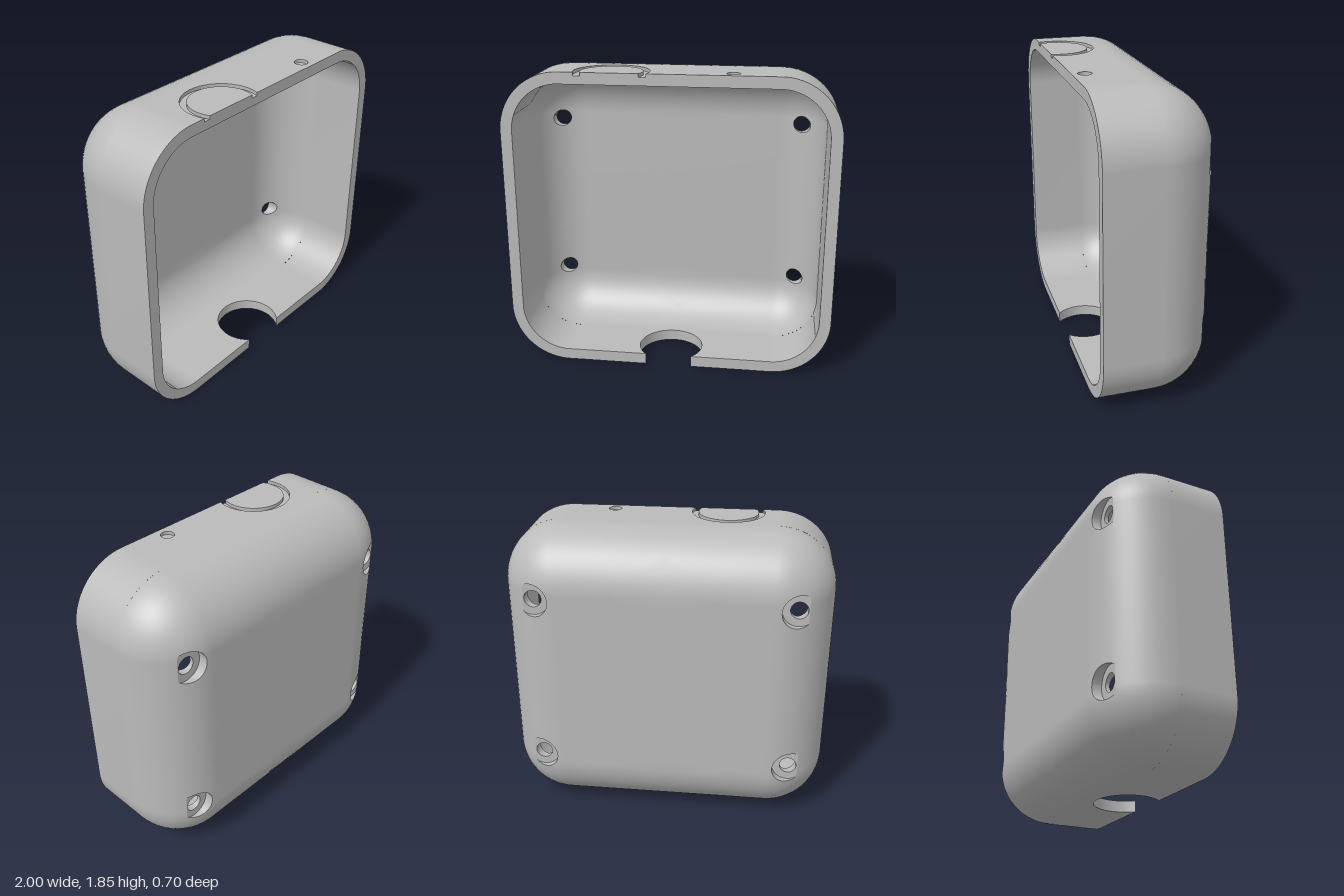
import * as THREE from 'three';
import { toCreasedNormals } from 'three/addons/utils/BufferGeometryUtils.js';

const A = 0.64, B = 0.565;          // half extents of the flat back
const R = 0.36, WALL = 0.07;        // outer edge radius and wall thickness
const RI = R - WALL, Z0 = 0.01, FRONT = 0.35, TOP = B + R;
const HOLE = { x: 0.78, y: 0.525, r: 0.052, bore: 0.1, floor: -0.29 };
const RAYS = 72, ROWS = 18, RINGS = 8;

// Distance outside the flat back rectangle (first quadrant), and the rounded depth there
const rho = (x, y) => Math.hypot(Math.max(0, x - A), Math.max(0, y - B));
const depth = (x, y, r) => Z0 - Math.sqrt(Math.max(0, r * r - rho(x, y) ** 2));

// Farthest point from the hole centre, at angle a, that stays inside a region
function reach(a, max, inside) {
  let lo = 0, hi = max;
  const at = t => [HOLE.x + t * Math.cos(a), HOLE.y + t * Math.sin(a)];
  if (inside(...at(max))) return at(max);
  for (let i = 0; i < 50; i++) {
    const mid = (lo + hi) / 2;
    if (inside(...at(mid))) lo = mid; else hi = mid;
  }
  return at(lo);
}

// Ray angles around a hole; the quadrant corners get rays of their own
function rayAngles(edge) {
  const list = Array.from({ length: RAYS }, (_, i) => (i * 2 * Math.PI) / RAYS);
  for (const [x, y] of [[0, 0], [0, B + edge], [A + edge, 0]]) {
    list.push((Math.atan2(y - HOLE.y, x - HOLE.x) + 2 * Math.PI) % (2 * Math.PI));
  }
  list.sort((p, q) => p - q);
  return [...list, list[0]];
}

// Mesh from columns of points, mirrored into a quadrant by sx, sy
function sheet(columns, sx, sy, flip, normalAt) {
  const pos = [], nor = [], idx = [], starts = [];
  for (const col of columns) {
    starts.push(pos.length / 3);
    for (const [x, y, z] of col) {
      pos.push(sx * x, sy * y, z);
      if (normalAt) {
        const n = normalAt(x, y);
        nor.push(sx * n[0], sy * n[1], n[2]);
      }
    }
  }
  const reverse = flip !== (sx * sy < 0);
  for (let i = 0; i + 1 < columns.length; i++) {
    const n = Math.min(columns[i].length, columns[i + 1].length);
    for (let k = 0; k + 1 < n; k++) {
      const a = starts[i] + k, b = starts[i + 1] + k;
      if (reverse) idx.push(a, b + 1, a + 1, a, b, b + 1);
      else idx.push(a, a + 1, b + 1, a, b + 1, b);
    }
  }
  const g = new THREE.BufferGeometry();
  g.setAttribute('position', new THREE.Float32BufferAttribute(pos, 3));
  if (normalAt) g.setAttribute('normal', new THREE.Float32BufferAttribute(nor, 3));
  g.setIndex(idx);
  return g;
}

// Counterbore outline, cut off where its floor meets the rounded edge
const boreLimit = Math.sqrt(R * R - (Z0 - HOLE.floor) ** 2);
const borePoint = a => reach(a, HOLE.bore, (x, y) => rho(x, y) <= boreLimit);
const holePoint = a => reach(a, HOLE.r, () => true);

// One quadrant of the rounded back, fanned out from its screw hole
function backSkin(r, edge, startPoint, outer, sx, sy) {
  const columns = rayAngles(edge).map(a => {
    const [x0, y0] = startPoint(a);
    const [x1, y1] = reach(a, 2, (x, y) => x >= -1e-9 && y >= -1e-9 && rho(x, y) <= edge);
    const col = [];
    for (let k = 0; k <= ROWS; k++) {
      const x = x0 + ((x1 - x0) * k) / ROWS, y = y0 + ((y1 - y0) * k) / ROWS;
      col.push([x, y, depth(x, y, r)]);
    }
    if (rho(x1, y1) > edge - 1e-5) {
      const ux = Math.max(0, x1 - A) / edge, uy = Math.max(0, y1 - B) / edge;
      const cx = Math.min(x1, A), cy = Math.min(y1, B), t0 = Math.asin(edge / r);
      for (let k = 1; k <= RINGS; k++) {
        const t = t0 + ((Math.PI / 2 - t0) * k) / RINGS;
        col.push([cx + ux * r * Math.sin(t), cy + uy * r * Math.sin(t), Z0 - r * Math.cos(t)]);
      }
    }
    return col;
  });
  const s = outer ? 1 : -1;
  return sheet(columns, sx, sy, outer, (x, y) => [
    (s * Math.max(0, x - A)) / r, (s * Math.max(0, y - B)) / r, (s * (depth(x, y, r) - Z0)) / r]);
}

// Counterbore wall, its floor, and the through hole
function screwHole(sx, sy) {
  const columns = rayAngles(0.25).map(a => {
    const [bx, by] = borePoint(a), [hx, hy] = holePoint(a);
    return [[bx, by, depth(bx, by, R)], [bx, by, HOLE.floor],
      [hx, hy, HOLE.floor], [hx, hy, depth(hx, hy, RI)]];
  });
  return toCreasedNormals(sheet(columns, sx, sy, false), 0.6);
}

// Arc round the rear of a circle that is cut off by the front plane
function rearArc(path, cx, cz, r) {
  const s = Math.asin((FRONT - cz) / r);
  path.absarc(cx, cz, r, s, -Math.PI - s, true);
  return path;
}

// Flat plate in x and z, with its upper face at the given height
function plate(shape, top, thickness) {
  const g = new THREE.ExtrudeGeometry(shape, { depth: thickness, bevelEnabled: false, curveSegments: 48 });
  g.rotateX(Math.PI / 2).translate(0, top, 0);
  return toCreasedNormals(g, 0.6);
}

function panelShape(cx, cz, r) {
  const s = new THREE.Shape();
  s.moveTo(-A, Z0).lineTo(A, Z0).lineTo(A, FRONT);
  rearArc(s, cx, cz, r);
  s.lineTo(-A, FRONT);
  return s;
}

export function createModel() {
  const group = new THREE.Group();
  const grey = new THREE.MeshStandardMaterial({ color: 0xbababa });
  grey.name = 'shellGrey';
  const add = (name, geometry) => {
    const mesh = new THREE.Mesh(geometry, grey);
    mesh.name = name;
    mesh.position.y = TOP;
    group.add(mesh);
  };

  // Rounded back with four screw holes
  for (const sx of [1, -1]) {
    for (const sy of [1, -1]) {
      add('backOuter', backSkin(R, 0.25, borePoint, true, sx, sy));
      add('backInner', backSkin(RI, 0.22, holePoint, false, sx, sy));
      add('screwHole', screwHole(sx, sy));
    }
  }

  // Side walls with rounded corners
  for (const side of [1, -1]) {
    const s = new THREE.Shape();
    s.moveTo(A, TOP);
    s.absarc(A, B, R, Math.PI / 2, 0, true);
    s.absarc(A, -B, R, 0, -Math.PI / 2, true);
    s.absarc(A, -B, RI, -Math.PI / 2, 0, false);
    s.absarc(A, B, RI, 0, Math.PI / 2, false);
    const g = new THREE.ExtrudeGeometry(s, { depth: FRONT - Z0, bevelEnabled: false, curveSegments: 24 });
    g.translate(0, 0, Z0);
    // A half turn mirrors the wall, as it is symmetric top to bottom
    if (side < 0) g.rotateZ(Math.PI);
    add(side > 0 ? 'leftWall' : 'rightWall', toCreasedNormals(g, 0.6));
  }

  // Top wall: base, grooved skin with a pin hole, and the round button
  const groove = 0.02, bx = -0.335, bz = 0.275;
  const base = new THREE.BoxGeometry(2 * A, WALL - groove, FRONT - Z0);
  base.translate(0, TOP - groove - (WALL - groove) / 2, (FRONT + Z0) / 2);
  add('topWall', base);
  const skin = panelShape(bx, bz, 0.223);
  skin.holes.push(new THREE.Path().absarc(0.37, bz, 0.04, 0, 2 * Math.PI, true));
  add('topSkin', plate(skin, TOP, groove));
  add('button', plate(rearArc(new THREE.Shape(), bx, bz, 0.185), TOP, groove));

  // Bottom wall with the round cable notch
  add('bottomWall', plate(panelShape(0, 0.211, 0.2), -TOP + WALL, WALL));
  return group;
}
